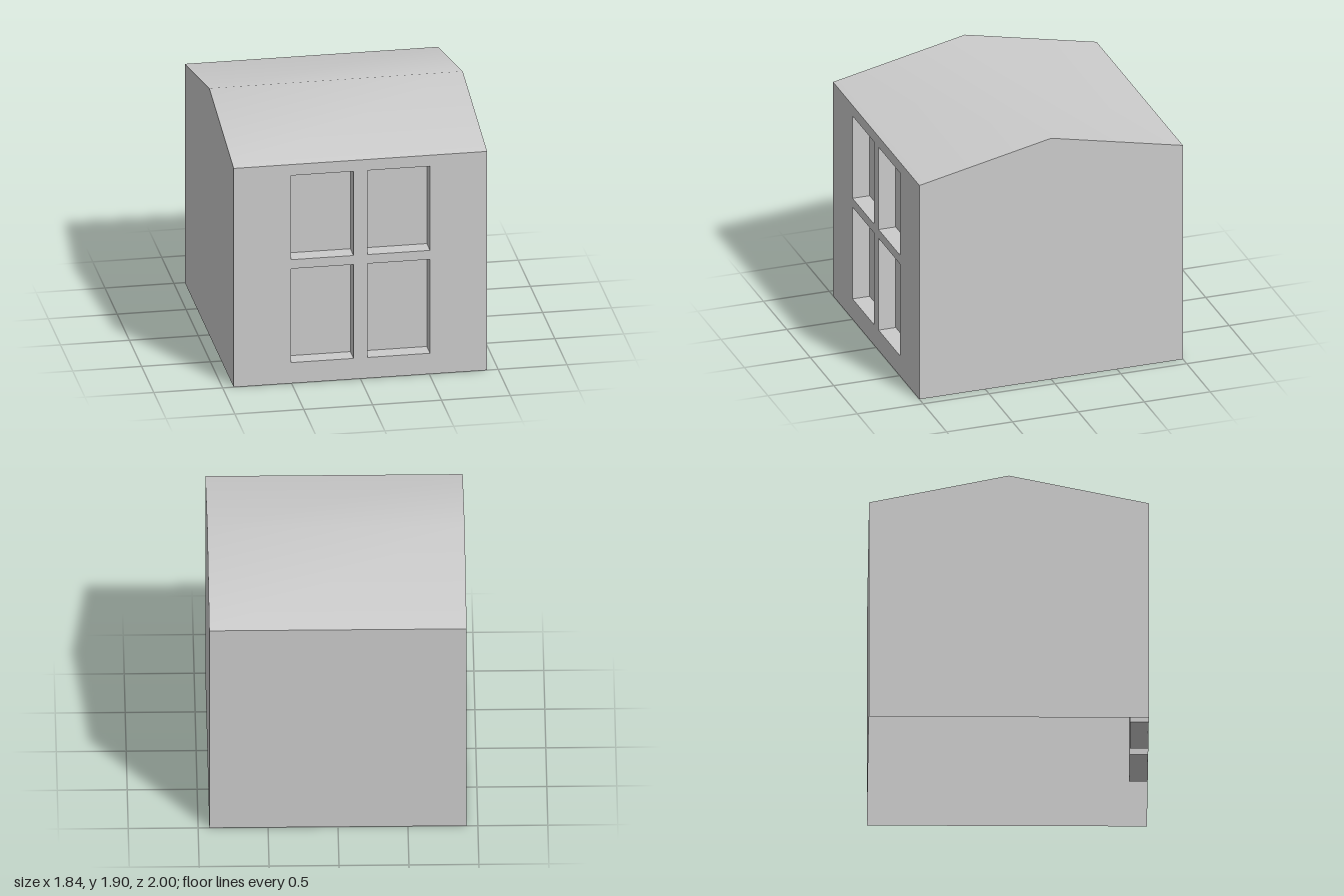
import * as THREE from 'three';

const W = 0.92, D = 1, EAVE = 1.69, RIDGE = 1.905; // half width, half depth, heights
const RECESS = 0.13;

export function createModel() {
  const group = new THREE.Group();
  const material = new THREE.MeshStandardMaterial({ color: 0xcccccc, side: THREE.DoubleSide });

  const add = (name, geometry, x, y, z, rotY = 0) => {
    const mesh = new THREE.Mesh(geometry, material);
    mesh.name = name;
    mesh.position.set(x, y, z);
    mesh.rotation.y = rotY;
    group.add(mesh);
  };
  const polygon = (points) => points.map(([x, y]) => new THREE.Vector2(x, y));

  // Front wall with four openings, each closed by an open-fronted recessed panel
  const front = new THREE.Shape(polygon([[-W, 0], [W, 0], [W, EAVE], [-W, EAVE]]));
  for (const [x0, x1] of [[-0.505, -0.05], [0.05, 0.505]]) {
    for (const [y0, y1] of [[0.16, 0.885], [0.955, 1.605]]) {
      front.holes.push(new THREE.Path(polygon([[x0, y0], [x0, y1], [x1, y1], [x1, y0]])));
      const box = new THREE.BoxGeometry(x1 - x0, y1 - y0, RECESS);
      const index = Array.from(box.index.array);
      index.splice(24, 6); // drop the +z face
      box.setIndex(index);
      box.clearGroups();
      add('recessedPanel', box, (x0 + x1) / 2, (y0 + y1) / 2, D - RECESS / 2);
    }
  }
  add('frontWall', new THREE.ShapeGeometry(front), 0, 0, D);

  // Plain back wall
  add('backWall', new THREE.PlaneGeometry(2 * W, EAVE), 0, EAVE / 2, -D, Math.PI);

  // Gabled side walls
  const gable = new THREE.ShapeGeometry(
    new THREE.Shape(polygon([[-D, 0], [D, 0], [D, EAVE], [0, RIDGE], [-D, EAVE]])));
  add('leftGableWall', gable, W, 0, 0, Math.PI / 2);
  add('rightGableWall', gable, -W, 0, 0, -Math.PI / 2);

  // Roof: a sheet raised along its middle, smooth across the ridge; the base stays open
  const roof = new THREE.PlaneGeometry(2 * W, 2 * D, 1, 2).rotateX(-Math.PI / 2);
  const pos = roof.attributes.position;
  for (let i = 0; i < pos.count; i++) {
    pos.setY(i, RIDGE - (RIDGE - EAVE) * Math.abs(pos.getZ(i)) / D);
  }
  roof.computeVertexNormals();
  add('roof', roof, 0, 0, 0);

  return group;
}
